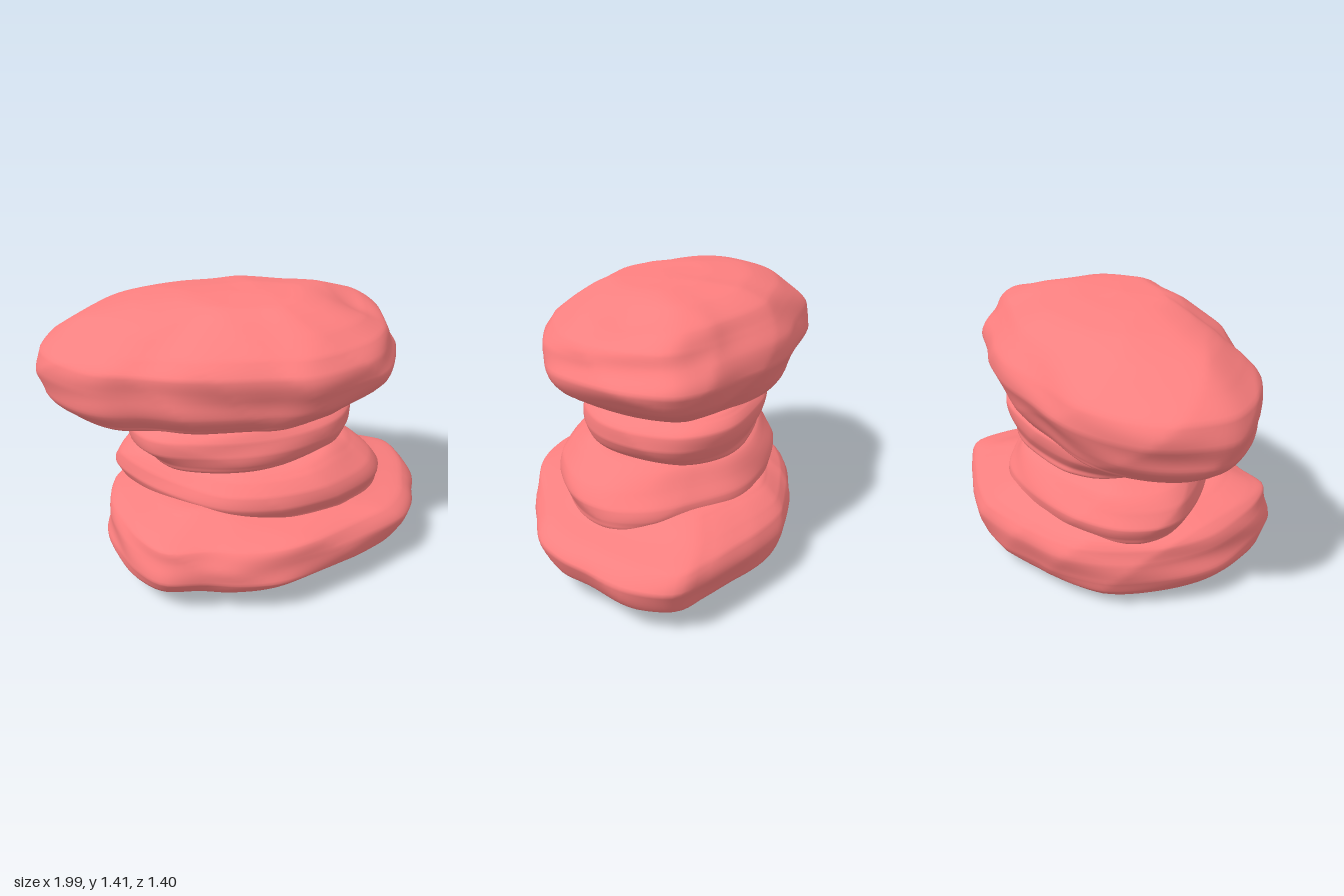
import * as THREE from 'three';
import { mergeVertices } from 'three/addons/utils/BufferGeometryUtils.js';

const material = new THREE.MeshStandardMaterial({ color: 0xff8080 });
const AROUND = 120; // points around each ring
const STEPS = 7; // rings between two given sections

// Weathered, mostly horizontal relief
function relief(x, y, z, seed) {
  const warp = 0.6 * Math.sin(3.1 * x + 2.3 * z + seed);
  const strata = Math.sin(17 * y + 2.4 * x - 1.7 * z + 2 * warp + seed * 2.3);
  const fine = Math.sin(33 * y - 3.5 * x + 4.1 * z + 3 * warp + seed);
  const lumps = Math.sin(5.2 * x + seed) * Math.sin(6.1 * z + 4 * y + seed * 1.7);
  const chips = Math.abs(Math.sin(6.5 * x - 5 * z + 9 * y + 2 * warp + seed));
  return 0.011 * strata + 0.007 * fine + 0.01 * lumps - 0.014 * chips + 0.009;
}

// outline: plan shape, running from +x over +z. sections: [y, xMin, xMax, zMin, zMax],
// slope: tilt of the underside, dents: [x, z, radius, depth] in the upper half (negative = bump).
function stone(name, { outline, sections, seed, slope = [0, 0], dents = [] }) {
  // Plan shape scaled to a box from -1 to 1
  const curve = new THREE.CatmullRomCurve3(
    outline.map(([x, z]) => new THREE.Vector3(x, 0, z)), true);
  const plan = curve.getSpacedPoints(AROUND).slice(0, AROUND);
  const box = new THREE.Box3().setFromPoints(plan);
  const mid = box.getCenter(new THREE.Vector3());
  const half = box.getSize(new THREE.Vector3()).multiplyScalar(0.5);

  // Close both ends with a section shrunk to a point
  const cap = ([y, x0, x1, z0, z1], dy) =>
    [y + dy, (x0 + x1) / 2, (x0 + x1) / 2, (z0 + z1) / 2, (z0 + z1) / 2];
  const last = sections.length - 1;
  const rows = [cap(sections[0], -0.005), ...sections, cap(sections[last], 0.01)];
  const yLow = sections[0][0], yHigh = sections[last][0];

  const positions = [], index = [];
  const rings = (rows.length - 1) * STEPS;
  for (let i = 0; i <= rings; i++) {
    const k = Math.min(Math.floor(i / STEPS), rows.length - 2);
    const t = i / STEPS - k;
    const at = (c) => {
      // Straight and curved blend keeps the facets readable
      const p = [k - 1, k, k + 1, k + 2].map(
        (n) => rows[THREE.MathUtils.clamp(n, 0, rows.length - 1)][c]);
      const line = THREE.MathUtils.lerp(p[1], p[2], t);
      const m1 = (p[2] - p[0]) / 2, m2 = (p[3] - p[1]) / 2;
      const t2 = t * t, t3 = t2 * t;
      const bend = (2 * t3 - 3 * t2 + 1) * p[1] + (t3 - 2 * t2 + t) * m1
        + (3 * t2 - 2 * t3) * p[2] + (t3 - t2) * m2;
      const endSegment = k === 0 || k === rows.length - 2;
      return endSegment ? line : (line + bend) / 2;
    };
    const [y0, xMin, xMax, zMin, zMax] = [0, 1, 2, 3, 4].map(at);
    const cx = (xMin + xMax) / 2, cz = (zMin + zMax) / 2;
    const up = THREE.MathUtils.clamp((y0 - yLow) / (yHigh - yLow), 0, 1);
    for (const p of plan) {
      const dx = (p.x - mid.x) / half.x * (xMax - xMin) / 2;
      const dz = (p.z - mid.z) / half.z * (zMax - zMin) / 2;
      const r = relief(cx + dx, y0, cz + dz, seed);
      const x = cx + dx * (1 + r), z = cz + dz * (1 + r);
      let y = y0 + (1 - up) * (slope[0] * dx + slope[1] * dz) + r * 0.3 * up;
      for (const [px, pz, radius, depth] of dents) {
        const d2 = ((x - px) ** 2 + (z - pz) ** 2) / radius ** 2;
        y -= depth * Math.exp(-d2) * THREE.MathUtils.smoothstep(up, 0.45, 0.9);
      }
      positions.push(x, Math.max(0, y), z);
    }
  }
  for (let i = 0; i < rings; i++) {
    for (let j = 0; j < AROUND; j++) {
      const a = i * AROUND + j, b = i * AROUND + (j + 1) % AROUND;
      const c = a + AROUND, d = b + AROUND;
      if (i > 0) index.push(a, c, b);
      else index.push(a, c, d);
      if (i > 0 && i < rings - 1) index.push(b, c, d);
    }
  }
  let geometry = new THREE.BufferGeometry();
  geometry.setAttribute('position', new THREE.Float32BufferAttribute(positions, 3));
  geometry.setIndex(index);
  geometry = mergeVertices(geometry, 1e-5);
  geometry.computeVertexNormals();
  const mesh = new THREE.Mesh(geometry, material);
  mesh.name = name;
  return mesh;
}

export function createModel() {
  const group = new THREE.Group();
  group.name = 'stackedStones';

  // Broad base with a pointed left end, rising towards the stone above
  group.add(stone('baseStone', {
    seed: 1.3,
    slope: [-0.04, 0.06],
    dents: [[-0.22, 0.42, 0.2, -0.025]],
    outline: [[1, -0.23], [0.94, 0], [0.9, 0.15], [0.8, 0.3], [0.6, 0.45], [0.4, 0.57],
      [0.2, 0.66], [-0.02, 0.69], [-0.2, 0.67], [-0.42, 0.66], [-0.55, 0.52], [-0.63, 0.33],
      [-0.69, 0.1], [-0.66, -0.15], [-0.53, -0.4], [-0.33, -0.55], [-0.1, -0.63],
      [0.1, -0.69], [0.28, -0.7], [0.45, -0.66], [0.6, -0.6], [0.8, -0.52], [0.95, -0.44]],
    sections: [
      [0.05, -0.58, 0.64, -0.48, 0.55],
      [0.10, -0.66, 0.77, -0.60, 0.65],
      [0.17, -0.69, 0.92, -0.67, 0.70],
      [0.28, -0.69, 1.00, -0.70, 0.67],
      [0.35, -0.66, 0.93, -0.69, 0.65],
      [0.39, -0.61, 0.79, -0.65, 0.57],
      [0.425, -0.53, 0.67, -0.58, 0.49],
      [0.45, -0.43, 0.54, -0.50, 0.41]],
  }));

  // Rounded lower middle stone, lying diagonally
  group.add(stone('lowerMiddleStone', {
    seed: 4.1,
    dents: [[0.4, 0.2, 0.13, -0.035]],
    outline: [[0.73, 0], [0.66, 0.21], [0.48, 0.37], [0.22, 0.47], [-0.08, 0.47],
      [-0.34, 0.31], [-0.54, 0.11], [-0.64, -0.1], [-0.56, -0.33], [-0.3, -0.48],
      [0.05, -0.54], [0.3, -0.5], [0.49, -0.37], [0.66, -0.2]],
    sections: [
      [0.36, -0.54, 0.68, -0.50, 0.41],
      [0.42, -0.61, 0.73, -0.54, 0.45],
      [0.48, -0.65, 0.73, -0.54, 0.48],
      [0.55, -0.61, 0.67, -0.50, 0.48],
      [0.61, -0.54, 0.59, -0.46, 0.43],
      [0.65, -0.42, 0.50, -0.38, 0.34]],
  }));

  // Thin slab with steep sides and a full right front corner
  group.add(stone('upperMiddleStone', {
    seed: 2.2,
    outline: [[0.58, -0.08], [0.52, 0.14], [0.33, 0.31], [0.05, 0.41], [-0.25, 0.41],
      [-0.46, 0.34], [-0.57, 0.14], [-0.54, -0.12], [-0.46, -0.33], [-0.25, -0.46],
      [0.05, -0.5], [0.36, -0.46], [0.54, -0.31]],
    sections: [
      [0.63, -0.42, 0.46, -0.45, 0.35],
      [0.68, -0.49, 0.55, -0.47, 0.40],
      [0.74, -0.57, 0.59, -0.49, 0.42],
      [0.81, -0.57, 0.58, -0.50, 0.41],
      [0.85, -0.52, 0.53, -0.48, 0.38],
      [0.88, -0.42, 0.46, -0.42, 0.32]],
  }));

  // Large overhanging top stone with a scooped left shoulder
  group.add(stone('topStone', {
    seed: 5.6,
    slope: [0.05, 0],
    dents: [[0.57, -0.04, 0.13, 0.035], [-0.4, 0.3, 0.2, 0.03]],
    outline: [[0.79, -0.2], [0.75, 0.1], [0.67, 0.27], [0.5, 0.4], [0.3, 0.49], [0.1, 0.48],
      [-0.1, 0.47], [-0.3, 0.44], [-0.5, 0.37], [-0.7, 0.32], [-0.86, 0.19], [-1, -0.03],
      [-0.98, -0.2], [-0.9, -0.36], [-0.75, -0.49], [-0.55, -0.57], [-0.25, -0.6],
      [0, -0.63], [0.2, -0.6], [0.42, -0.53], [0.62, -0.46], [0.76, -0.36]],
    sections: [
      [0.845, -0.80, 0.52, -0.49, 0.37],
      [0.89, -0.89, 0.64, -0.55, 0.43],
      [0.96, -0.96, 0.74, -0.59, 0.47],
      [1.07, -1.00, 0.80, -0.64, 0.50],
      [1.17, -0.98, 0.77, -0.61, 0.51],
      [1.25, -0.85, 0.73, -0.56, 0.47],
      [1.32, -0.71, 0.63, -0.50, 0.38],
      [1.38, -0.50, 0.45, -0.38, 0.29],
      [1.41, -0.27, 0.30, -0.20, 0.21]],
  }));

  return group;
}
